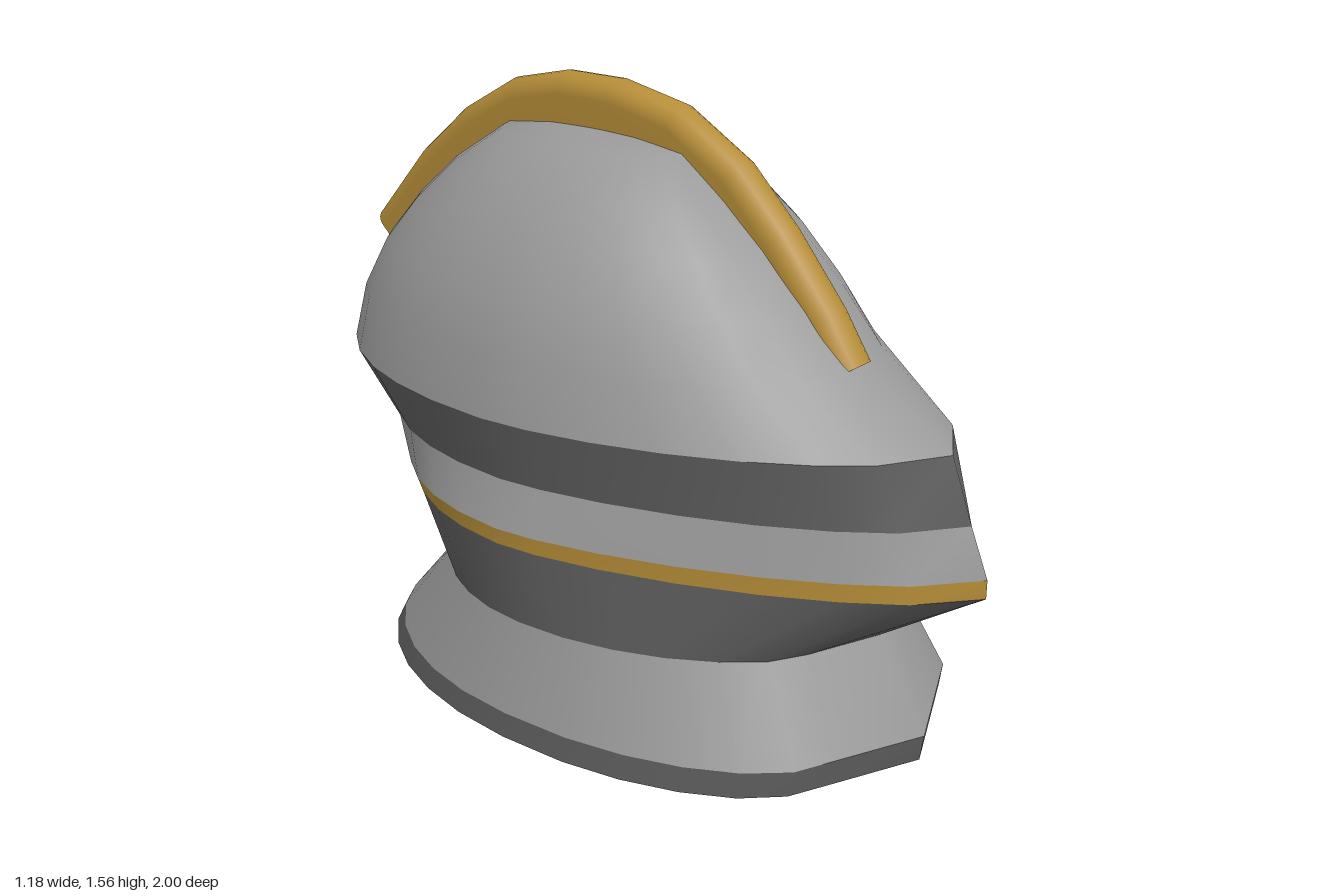
import * as THREE from 'three';

const mat = (name, color) => {
  const m = new THREE.MeshStandardMaterial({ color, side: THREE.DoubleSide });
  m.name = name;
  return m;
};

// Half-ring angles in degrees from the front; the nose gap keeps the front edge pointed
const half = [0, 23, 34, 45, 56, 67, 78, 90, 101, 112, 123, 134, 146, 157, 168];
const angles = [...half, 180, ...half.slice(1).reverse().map(a => 360 - a)];

// Helmet outline: full rounded back, front sharpened by p (2 = round, lower = pointed).
// bevel cuts the front into two flat facets of that slope.
function ring({ y, yb = y, w, front, back, mid, p = 2, bevel = 0 }) {
  return angles.map(deg => {
    const a = THREE.MathUtils.degToRad(deg);
    const s = Math.sin(a), c = Math.cos(a);
    const e = 2 / (c > 0 ? p : 2.15);
    const x = w * Math.sign(s) * Math.abs(s) ** e;
    const z = c > 0 ? mid + (front - mid) * c ** e : mid - (mid - back) * (-c) ** e;
    return [x, y + (yb - y) * (1 - c) / 2, Math.min(z, front - bevel * Math.abs(x))];
  });
}

// Skin a list of equal-length cross-sections
function loft(sections, closed) {
  const n = sections[0].length, index = [];
  for (let i = 0; i < sections.length - 1; i++) {
    for (let j = 0; j < (closed ? n : n - 1); j++) {
      const k = (j + 1) % n;
      const a = i * n + j, b = i * n + k, c = b + n, d = a + n;
      index.push(a, b, c, a, c, d);
    }
  }
  const g = new THREE.BufferGeometry();
  g.setAttribute('position', new THREE.Float32BufferAttribute(sections.flat(2), 3));
  g.setIndex(index);
  g.computeVertexNormals();
  return g;
}

export function createModel() {
  const group = new THREE.Group();
  const steel = mat('lightSteel', 0x999999);
  const dark = mat('darkSteel', 0x5e5e5e);
  const gold = mat('gold', 0xb58d38);

  const add = (name, geometry, material) => {
    const mesh = new THREE.Mesh(geometry, material);
    mesh.name = name;
    group.add(mesh);
  };

  // Edges shared by neighbouring plates, from the hem up to the brow
  const hem = { y: 0.0, yb: 0.015, w: 0.59, front: 0.85, back: -0.775, mid: 0, p: 2.1, bevel: 0.45 };
  const lip = { y: 0.07, w: 0.58, front: 0.86, back: -0.74, mid: 0, p: 2.1, bevel: 0.45 };
  const neck = { y: 0.3, w: 0.52, front: 0.72, back: -0.53, mid: 0, p: 1.9, bevel: 0.4 };
  const trimLow = { y: 0.49, yb: 0.523, w: 0.537, front: 1.0, back: -0.655, mid: -0.05, p: 1.4 };
  const trimTop = { y: 0.538, yb: 0.556, w: 0.54, front: 1.0, back: -0.685, mid: -0.05, p: 1.4 };
  const cheek = { y: 0.66, w: 0.5, front: 0.95, back: -0.77, mid: -0.07, p: 1.48 };
  const brow = { y: 0.82, w: 0.53, front: 0.89, back: -0.93, mid: -0.1, p: 1.58 };

  const plates = [
    ['hemBand', hem, lip, dark],
    ['neckGuard', lip, neck, steel],
    ['chinPlate', neck, trimLow, dark],
    ['visorTrim', trimLow, trimTop, gold],
    ['cheekPlate', trimTop, cheek, steel],
    ['browPlate', cheek, brow, dark],
  ];
  for (const [name, low, high, material] of plates) {
    add(name, loft([ring(low), ring(high)], true), material);
  }

  // Skull dome, closed by a shallow cap
  add('skullDome', loft([
    brow,
    { y: 0.97, w: 0.505, front: 0.65, back: -0.885, mid: -0.11, p: 1.7 },
    { y: 1.1, w: 0.458, front: 0.525, back: -0.81, mid: -0.12, p: 1.8 },
    { y: 1.22, w: 0.393, front: 0.4, back: -0.705, mid: -0.13, p: 1.9 },
    { y: 1.32, w: 0.313, front: 0.28, back: -0.595, mid: -0.14 },
    { y: 1.415, w: 0.21, front: 0.15, back: -0.45, mid: -0.15 },
    { y: 1.433, w: 0.11, front: 0.01, back: -0.31, mid: -0.15 },
    { y: 1.44, w: 0.001, front: -0.149, back: -0.151, mid: -0.15 },
  ].map(ring), true), steel);

  // Crest: an arched channel, open underneath, running over the dome from front to back
  const ridge = [
    [0.645, 0.985], [0.57, 1.1], [0.43, 1.27], [0.29, 1.41], [0.1, 1.52], [-0.1, 1.56],
    [-0.28, 1.56], [-0.46, 1.52], [-0.64, 1.42], [-0.81, 1.28], [-0.998, 1.075],
  ];
  const last = ridge.length - 1;
  const sections = ridge.map(([z, y], i) => {
    const [z0, y0] = ridge[Math.max(i - 1, 0)], [z1, y1] = ridge[Math.min(i + 1, last)];
    const len = Math.hypot(z1 - z0, y1 - y0);
    const inZ = (y0 - y1) / len, inY = (z1 - z0) / len;
    const r = THREE.MathUtils.lerp(0.06, 0.048, i / last);
    const profile = [[r, 0.14]];
    for (let k = 0; k <= 10; k++) {
      const a = Math.PI * k / 10;
      profile.push([r * Math.cos(a), r - r * Math.sin(a)]);
    }
    profile.push([-r, 0.14]);
    return profile.map(([x, d]) => [x, y + inY * d, z + inZ * d]);
  });
  add('crest', loft(sections.reverse(), false), gold);

  return group;
}
